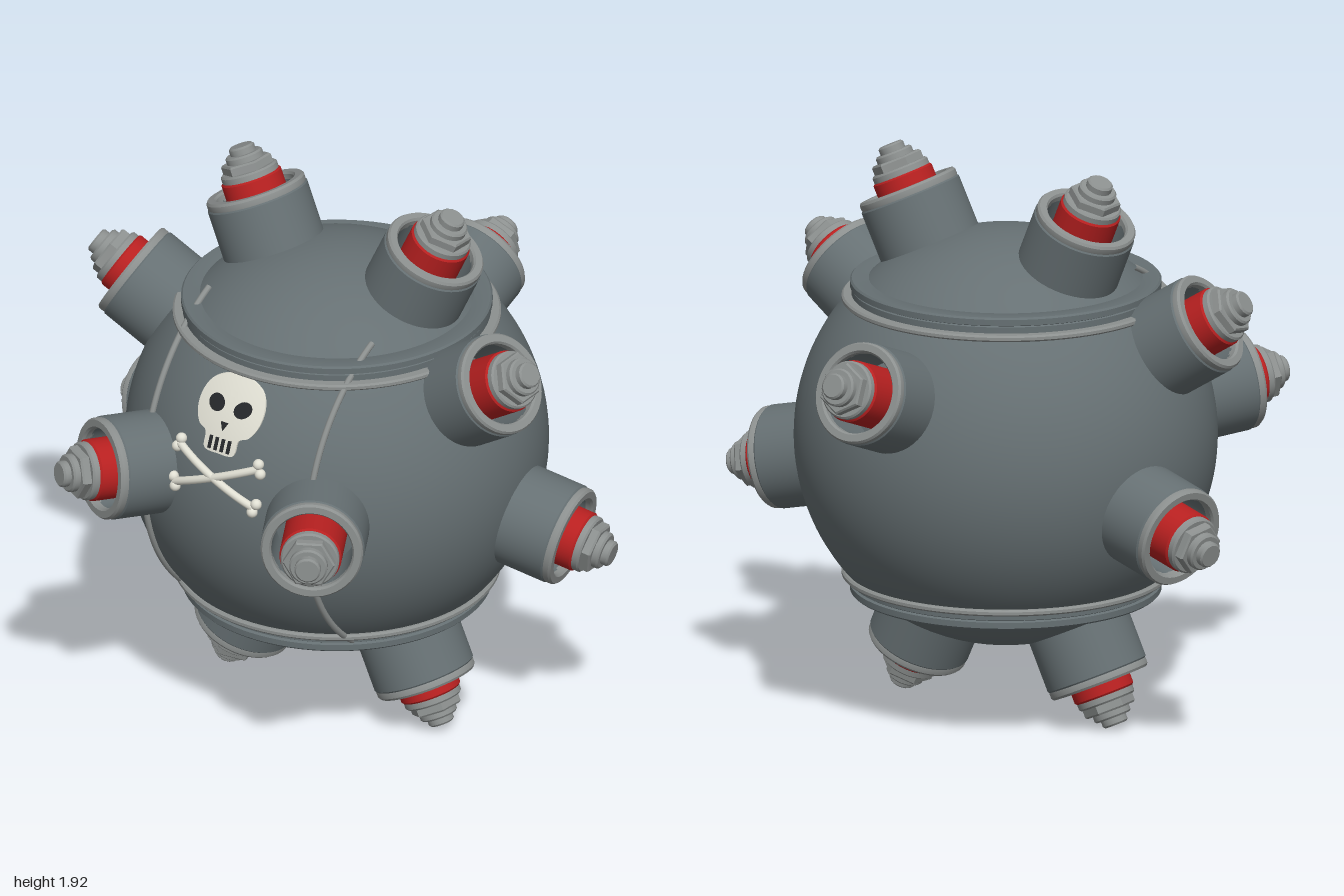
import * as THREE from 'three';
import { toCreasedNormals } from 'three/addons/utils/BufferGeometryUtils.js';

const R = 0.705; // hull radius
const CENTER = new THREE.Vector3(0, 0.955, 0.02);
const V2 = (x, y) => new THREE.Vector2(x, y);

const paint = (color) => new THREE.MeshStandardMaterial({ color });
const hullMat = paint(0x667073);
const metalMat = paint(0x8c908f);
const redMat = paint(0xb82020);
const boneMat = paint(0xe0dfd3);
const darkMat = paint(0x25272a);

function add(parent, name, geometry, material) {
  const mesh = new THREE.Mesh(geometry, material);
  mesh.name = name;
  parent.add(mesh);
  return mesh;
}

const lathe = (points, sides = 48) =>
  toCreasedNormals(new THREE.LatheGeometry(points.map((p) => V2(...p)), sides), 0.6);

// Solid disc with a small bevel on its outer edge, from y0 to y1
function disc(r, y0, y1, sides) {
  const b = 0.006;
  return lathe([[0, y0], [r, y0], [r, y1 - b], [r - b, y1], [0, y1]], sides);
}

// Point on the hull at (x, y), raised by lift
const onHull = (x, y, lift) =>
  new THREE.Vector3(x, y, Math.sqrt((R + lift) ** 2 - x * x - y * y));

// Thin patch that follows the hull: rings scaled from the centre of a CCW outline
function patch(outline, cx, cy, lift, rings = 6) {
  const n = outline.length;
  const pos = [];
  const index = [];
  for (let k = 0; k <= rings + 1; k++) {
    const s = Math.min(k, rings) / rings;
    const h = k > rings ? -0.005 : lift; // last ring drops into the hull
    for (const p of outline) pos.push(...onHull(cx + p.x * s, cy + p.y * s, h));
  }
  for (let k = 0; k <= rings; k++) {
    for (let i = 0; i < n; i++) {
      const a = k * n + i;
      const b = k * n + ((i + 1) % n);
      index.push(a, a + n, b + n, a, b + n, b);
    }
  }
  const g = new THREE.BufferGeometry();
  g.setAttribute('position', new THREE.Float32BufferAttribute(pos, 3));
  g.setIndex(index);
  return toCreasedNormals(g, 0.6);
}

// Contact horn: open cup, red insulator and stepped bolt, pointing along +y
const hornParts = [
  ['cup', lathe([[0.174, 0.64], [0.174, 0.855], [0.168, 0.862], [0.136, 0.862], [0.136, 0.68]]), hullMat],
  ['cupRim', lathe([[0.168, 0.855], [0.171, 0.864], [0.171, 0.88], [0.165, 0.888],
    [0.142, 0.888], [0.136, 0.88], [0.136, 0.855]]), metalMat],
  ['insulator', disc(0.104, 0.66, 0.93, 40), redMat],
  ['washer', disc(0.098, 0.928, 0.955, 40), metalMat],
  ['hexNut', disc(0.088, 0.953, 0.986, 6), metalMat],
  ['boltCollar', disc(0.064, 0.984, 1.01, 32), metalMat],
  ['boltTip', disc(0.044, 1.008, 1.036, 16), metalMat],
];
const hornDirections = [
  [-0.42, 0.935, -0.04], [0.43, 0.93, -0.06], // top
  [-0.84, 0.54, 0.18], [0.85, 0.54, 0.1], // upper sides
  [-0.98, -0.215, -0.19], [0.98, -0.215, -0.19], // lower sides
  [-0.47, 0.1, 0.9], [0.52, 0.045, 0.88], // front
  [-0.42, -0.93, 0.04], [0.44, -0.92, 0.02], // bottom
  [0, 0.37, -0.95], // back
];

function addHorns(parent) {
  const up = new THREE.Vector3(0, 1, 0);
  for (const d of hornDirections) {
    const horn = new THREE.Group();
    horn.name = 'contactHorn';
    horn.quaternion.setFromUnitVectors(up, new THREE.Vector3(...d).normalize());
    for (const [name, geometry, material] of hornParts) add(horn, name, geometry, material);
    parent.add(horn);
  }
}

// Stepped collars around the top and bottom of the hull
function addBands(parent) {
  const flange = lathe([[0.48, 0.462], [0.54, 0.462], [0.546, 0.468], [0.546, 0.478],
    [0.54, 0.484], [0.48, 0.484]], 80);
  const collar = lathe([[0.5, 0.48], [0.513, 0.484], [0.513, 0.505], [0.508, 0.508],
    [0.518, 0.512], [0.518, 0.532], [0.512, 0.538], [0.455, 0.538], [0.44, 0.53]], 80);
  for (const [side, turn] of [['upper', 0], ['lower', Math.PI]]) {
    add(parent, side + 'Flange', flange, metalMat).rotation.x = turn;
    add(parent, side + 'Collar', collar, hullMat).rotation.x = turn;
  }
}

// Thin front seams running over the hull
function addSeams(parent) {
  const a = 1.14;
  const seam = new THREE.TorusGeometry(0.627, 0.011, 8, 60, a * 2);
  seam.rotateZ(-a);
  seam.rotateY(-Math.PI / 2);
  for (const x of [-0.335, 0.335]) add(parent, 'seam', seam, metalMat).position.x = x;
}

// Painted skull and crossed bones
function addEmblem(parent) {
  const emblem = new THREE.Group();
  emblem.name = 'warningEmblem';
  parent.add(emblem);
  const cy = 0.345;

  const half = [[0.045, -0.117], [0.063, -0.105], [0.067, -0.062], [0.1, -0.047],
    [0.124, -0.01], [0.127, 0.04], [0.105, 0.085], [0.058, 0.111]];
  const outline = [[0, -0.117], ...half, [0, 0.117],
    ...half.map(([x, y]) => [-x, y]).reverse()];
  const curve = new THREE.SplineCurve([...outline, outline[0]].map((p) => V2(...p)));
  add(emblem, 'skull', patch(curve.getPoints(72).slice(0, -1), 0, cy, 0.006, 8), boneMat);

  for (const s of [-1, 1]) {
    const eye = new THREE.EllipseCurve(0, 0, 0.032, 0.024, 0, Math.PI * 2, false, s * 0.2);
    add(emblem, 'eyeSocket', patch(eye.getPoints(28).slice(0, -1), s * 0.053, cy + 0.03, 0.01), darkMat);
  }
  add(emblem, 'noseHole', patch([V2(0, -0.014), V2(0.014, 0.012), V2(-0.014, 0.012)], 0, cy - 0.03, 0.01), darkMat);
  const gap = [V2(-0.006, -0.02), V2(0.006, -0.02), V2(0.006, 0.02), V2(-0.006, 0.02)];
  for (let i = 0; i < 4; i++) {
    add(emblem, 'toothGap', patch(gap, (i - 1.5) * 0.025, cy - 0.088, 0.01, 2), darkMat);
  }

  const knob = new THREE.SphereGeometry(0.019, 16, 12);
  for (const s of [-1, 1]) {
    const path = [];
    for (let t = -1; t <= 1.01; t += 0.25) path.push(onHull(t * 0.16, 0.148 + s * t * 0.066, 0.012));
    add(emblem, 'bone', new THREE.TubeGeometry(new THREE.CatmullRomCurve3(path), 24, 0.014, 12), boneMat);
    for (const e of [-1, 1]) {
      for (const k of [-1, 1]) {
        const x = e * 0.164 - k * s * 0.006;
        const y = 0.148 + s * e * 0.067 + k * 0.015;
        add(emblem, 'boneKnob', knob, boneMat).position.copy(onHull(x, y, 0.012));
      }
    }
  }
}

export function createModel() {
  const model = new THREE.Group();
  model.name = 'seaMine';
  const body = new THREE.Group();
  body.name = 'body';
  body.position.copy(CENTER);
  model.add(body);
  add(body, 'hull', new THREE.SphereGeometry(R, 96, 64), hullMat);
  addBands(body);
  addSeams(body);
  addHorns(body);
  addEmblem(body);
  return model;
}
